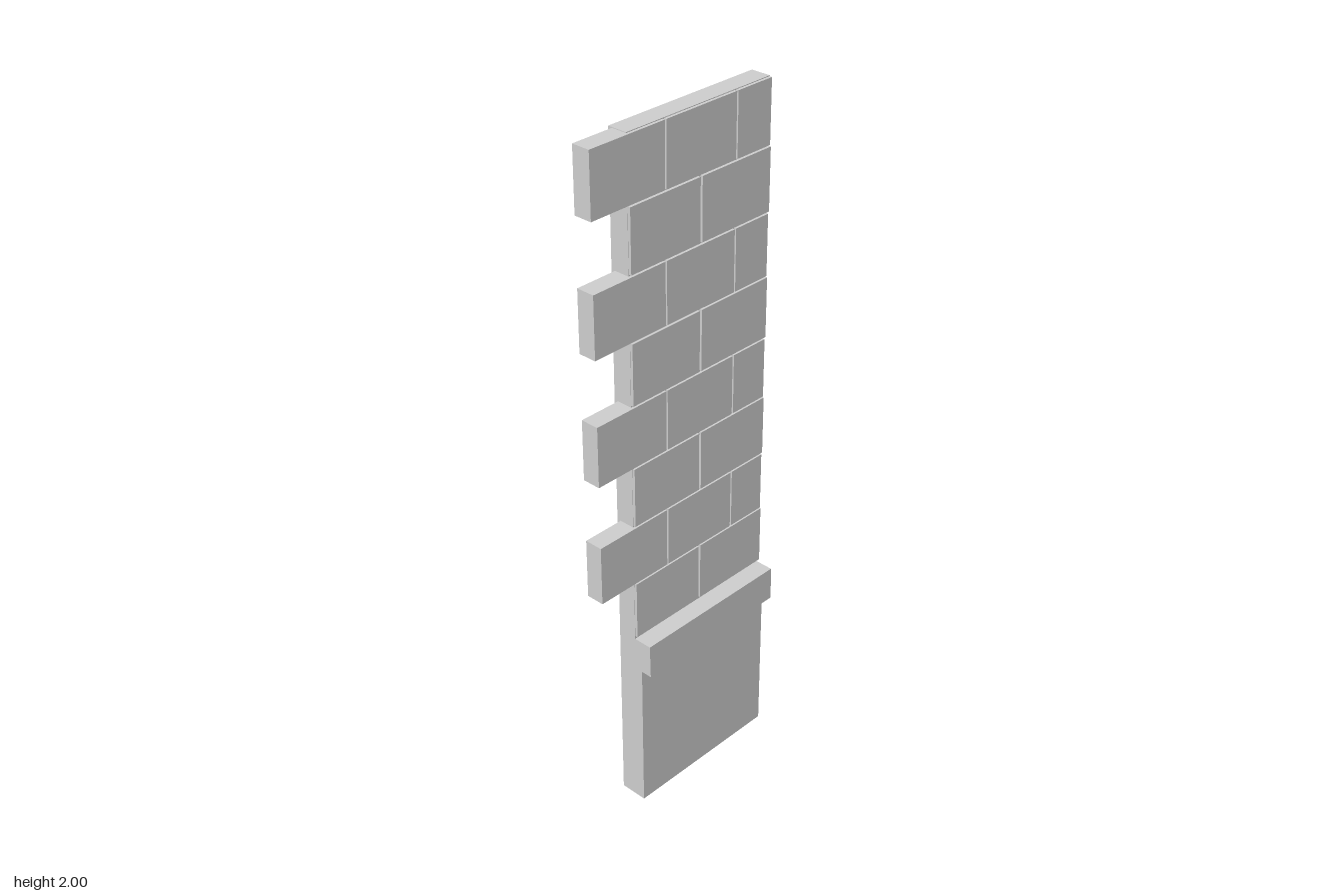
import * as THREE from 'three';

const material = new THREE.MeshStandardMaterial({ color: 0xcccccc, flatShading: true, side: THREE.DoubleSide });

// Wall profile (x, y) swept along z, left open underneath
function wallGeometry(zBack, zFront) {
  const profile = [
    [-0.057, 0], [0.024, 0], [0.024, 0.462], [0.057, 0.462],
    [0.055, 0.562], [0, 0.562], [0, 2], [-0.057, 2],
  ].map(([x, y]) => new THREE.Vector2(x, y));
  const solid = new THREE.ExtrudeGeometry(new THREE.Shape(profile), {
    depth: zFront - zBack, bevelEnabled: false,
  }).translate(0, 0, zBack).toNonIndexed();

  // Drop the triangles lying on the ground
  const p = solid.attributes.position;
  const kept = [];
  for (let i = 0; i < p.count; i += 3) {
    if (Math.max(p.getY(i), p.getY(i + 1), p.getY(i + 2)) < 1e-4) continue;
    for (let k = i; k < i + 3; k++) kept.push(p.getX(k), p.getY(k), p.getZ(k));
  }
  const geometry = new THREE.BufferGeometry();
  geometry.setAttribute('position', new THREE.Float32BufferAttribute(kept, 3));
  geometry.computeVertexNormals();
  return geometry;
}

function brick(name, y0, y1, z0, z1) {
  const x0 = -0.045, x1 = 0.008;
  const mesh = new THREE.Mesh(new THREE.BoxGeometry(x1 - x0, y1 - y0, z1 - z0), material);
  mesh.position.set((x0 + x1) / 2, (y0 + y1) / 2, (z0 + z1) / 2);
  mesh.name = name;
  return mesh;
}

export function createModel() {
  const model = new THREE.Group();
  model.name = 'brickWallEnd';

  // Wall core with plinth and ledge
  const wall = new THREE.Mesh(wallGeometry(-0.306, 0.184), material);
  wall.name = 'wallWithLedge';
  model.add(wall);

  // Eight courses: flush ones alternate with ones toothed out past the front
  const flush = [[-0.308, -0.062], [-0.055, 0.183]];
  const toothed = [[-0.305, -0.185], [-0.18, 0.062], [0.067, 0.308]];
  const bricks = new THREE.Group();
  bricks.name = 'bricks';
  const pitch = 0.179, height = 0.174;
  for (let row = 0; row < 8; row++) {
    const y = 0.571 + row * pitch;
    const spans = row % 2 ? toothed : flush;
    for (const [z0, z1] of spans) {
      bricks.add(brick(row % 2 ? 'toothedBrick' : 'flushBrick', y, y + height, z0, z1));
    }
  }
  model.add(bricks);
  return model;
}
